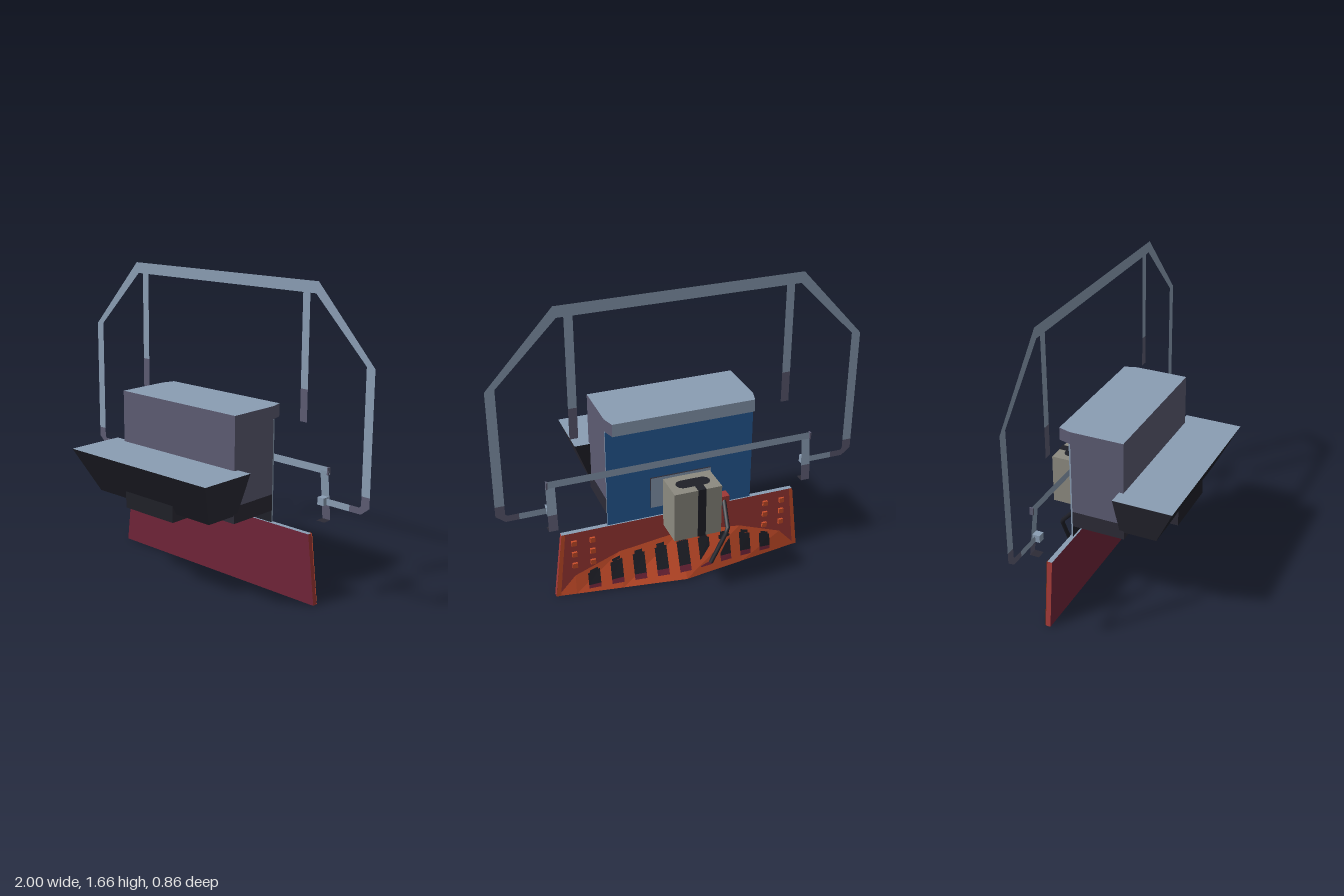
import * as THREE from 'three';

const mat = (name, color) => {
  const m = new THREE.MeshStandardMaterial({ color, side: THREE.DoubleSide });
  m.name = name;
  return m;
};

export function createModel() {
  const model = new THREE.Group();
  const steel = mat('steel', 0x8a9db3), slate = mat('slate', 0x5c5b72), dark = mat('charcoal', 0x2c2b36);
  const black = mat('black', 0x1f2028), blue = mat('blue', 0x265c98), beige = mat('beige', 0x8c8a80);
  const red = mat('red', 0xa03836), orange = mat('orange', 0xcc4e2a), maroon = mat('maroon', 0x702438);

  const add = (name, geometry, material) => {
    const mesh = new THREE.Mesh(geometry, material);
    mesh.name = name;
    model.add(mesh);
    return mesh;
  };
  // box from its limits; material may be a list: +x, -x, top, bottom, front, back
  const box = (name, x0, x1, y0, y1, z0, z1, material, warp) => {
    const g = new THREE.BoxGeometry(x1 - x0, y1 - y0, z1 - z0);
    g.translate((x0 + x1) / 2, (y0 + y1) / 2, (z0 + z1) / 2);
    if (warp) {
      const p = g.attributes.position, v = new THREE.Vector3();
      for (let i = 0; i < p.count; i++) {
        v.fromBufferAttribute(p, i);
        warp(v);
        p.setXYZ(i, v.x, v.y, v.z);
      }
      g.computeVertexNormals();
    }
    return add(name, g, material);
  };
  // flat upright sheet, given by its outline
  const sheet = (name, pts, z, material) => {
    const g = new THREE.ShapeGeometry(new THREE.Shape(pts.map(p => new THREE.Vector2(...p))));
    return add(name, g.translate(0, 0, z), material);
  };
  // list of four-cornered faces, flat shaded
  const quads = (name, faces, material) => {
    const g = new THREE.BufferGeometry();
    const pos = faces.flatMap(([a, b, c, d]) => [...a, ...b, ...c, ...a, ...c, ...d]);
    g.setAttribute('position', new THREE.Float32BufferAttribute(pos, 3));
    g.computeVertexNormals();
    return add(name, g, material);
  };

  // main cabinet with its overhanging lid
  box('cabinet', -0.41, 0.41, 0.535, 1.01, -0.165, 0.13, [slate, slate, steel, dark, slate, blue]);
  box('cabinetBase', -0.41, 0.41, 0.445, 0.535, -0.165, 0.13, dark);
  box('lidOverhang', -0.41, 0.41, 0.94, 1.01, -0.235, -0.165, [slate, slate, steel, black, slate, steel],
    v => { if (v.z < -0.2) v.x *= 0.95; });
  box('backPanel', -0.41, 0.41, 0.38, 0.94, -0.174, -0.165, [steel, steel, steel, dark, black, blue]);

  // flared hopper and the block below it
  box('hopper', -0.495, 0.495, 0.485, 0.725, 0.105, 0.43, [dark, dark, steel, black, black, black], v => {
    if (v.y < 0.6) {
      v.x *= 0.82;
      if (v.z > 0.3) v.z = 0.31;
    }
  });
  box('hopperBlock', -0.175, 0.175, 0.445, 0.54, 0.1, 0.335, [dark, dark, black, black, black, black]);

  // motor housing with a dark strap and slot
  box('mountPlate', -0.17, 0.17, 0.44, 0.62, -0.184, -0.174, [dark, dark, dark, dark, dark, steel]);
  box('motorNeck', -0.075, 0.075, 0.42, 0.605, -0.265, -0.11, beige);
  box('motor', -0.13, 0.13, 0.375, 0.655, -0.43, -0.262, [beige, beige, beige, black, beige, beige]);
  box('motorStrapBack', -0.042, 0.002, 0.375, 0.656, -0.433, -0.43, black);
  box('motorStrapTop', -0.042, 0.002, 0.655, 0.658, -0.433, -0.38, black);
  const slot = new THREE.Shape();
  slot.absarc(0.055, 0.35, 0.038, -Math.PI / 2, Math.PI / 2);
  slot.absarc(-0.055, 0.35, 0.038, Math.PI / 2, Math.PI * 1.5);
  add('motorSlot', new THREE.ShapeGeometry(slot, 5).rotateX(-Math.PI / 2).translate(0, 0.658, 0), black);

  // bent hose
  box('hoseSocket', -0.26, -0.2, 0.41, 0.455, -0.24, -0.184, red);
  const hosePath = new THREE.CurvePath();
  const bends = [[-0.23, 0.43, -0.23], [-0.21, 0.31, -0.34], [-0.11, 0.13, -0.352]].map(p => new THREE.Vector3(...p));
  hosePath.add(new THREE.LineCurve3(bends[0], bends[1]));
  hosePath.add(new THREE.LineCurve3(bends[1], bends[2]));
  add('hose', new THREE.TubeGeometry(hosePath, 12, 0.013, 6), black);

  // blade
  box('blade', -0.71, 0.71, 0, 0.38, -0.182, -0.155, [red, red, steel, maroon, maroon, red],
    v => { if (v.y > 0.2) v.x *= 0.935; });

  // ramp behind the blade: crest on the blade, lower edge running back to a point
  const crest = [[0, 0.25], [0.35, 0.205], [0.6, 0.11], [0.7, 0]];
  const crestY = x => {
    const a = Math.abs(x);
    const i = Math.max(1, crest.findIndex(c => c[0] >= a));
    const [x0, y0] = crest[i - 1], [x1, y1] = crest[i];
    return y0 + (y1 - y0) * (a - x0) / (x1 - x0);
  };
  const ramp = (x, t, lift = 0) =>
    [x, crestY(x) * t + lift * 0.4, -0.183 - 0.102 * (1 - Math.abs(x) / 0.7) * (1 - t) - lift];
  const xs = [-0.7, -0.6, -0.35, 0, 0.35, 0.6, 0.7];
  const slopes = [], under = [];
  for (let i = 0; i < xs.length - 1; i++) {
    const a = xs[i], b = xs[i + 1];
    slopes.push([ramp(b, 0), ramp(a, 0), ramp(a, 1), ramp(b, 1)]);
    under.push([ramp(a, 0), ramp(b, 0), [b, 0, -0.18], [a, 0, -0.18]]);
  }
  quads('ramp', slopes, orange);
  quads('rampUnderside', under, maroon);

  // row of dark openings with maroon sills
  const openings = [], sills = [];
  const patch = (x, w, t0, t1) =>
    [ramp(x + w, t0, 0.005), ramp(x - w, t0, 0.005), ramp(x - w, t1, 0.005), ramp(x + w, t1, 0.005)];
  for (let i = -4; i <= 4; i++) {
    const x = i * 0.125;
    openings.push(patch(x, 0.033, 0.3, 0.82), patch(x, 0.022, 0.82, 0.9));
    sills.push(patch(x, 0.033, 0.16, 0.3));
  }
  quads('rampOpenings', openings, black);
  quads('rampSills', sills, maroon);

  for (const s of [1, -1]) {
    const m = pts => pts.map(([x, y]) => [x * s, y]);
    // blade edge trim and bolts
    sheet('bladeTrim', m([[0.71, 0], [0.665, 0.38], [0.645, 0.38], [0.685, 0]]), -0.185, orange);
    for (const x of [0.5, 0.6])
      for (const y of [0.18, 0.25, 0.32])
        box('bolt', s * x - 0.014, s * x + 0.014, y - 0.014, y + 0.014, -0.195, -0.182, orange);

    // outer hoop, cut from flat bar
    sheet('hoop', m([[0, 1.665], [0.65, 1.665], [1, 1.28], [1, 0.64], [0.95, 0.64], [0.95, 1.285],
      [0.635, 1.605], [0, 1.605]]), -0.2, steel);
    sheet('hoopCorner', m([[1, 0.64], [1, 0.585], [0.95, 0.545], [0.88, 0.545], [0.88, 0.58], [0.94, 0.58],
      [0.95, 0.59], [0.95, 0.64]]), -0.2, slate);
    sheet('hoopFoot', m([[0.88, 0.545], [0.88, 0.58], [0.7, 0.58], [0.7, 0.545]]), -0.2, steel);
    sheet('hanger', m([[0.555, 1.605], [0.6, 1.605], [0.6, 1.12], [0.555, 1.12]]), -0.2, steel);
    sheet('hangerTip', m([[0.555, 1.12], [0.6, 1.12], [0.6, 0.95], [0.555, 0.95]]), -0.2, slate);

    // leaning legs of the inner rail
    const strip = (y0, z0, y1, z1) =>
      [[[0.69 * s, y0, z0], [0.74 * s, y0, z0], [0.74 * s, y1, z1], [0.69 * s, y1, z1]]];
    quads('railLeg', strip(0.545, -0.225, 0.72, -0.206), steel);
    quads('railLegTip', strip(0.455, -0.235, 0.545, -0.225), slate);
    quads('railFoot', strip(0.455, -0.235, 0.455, -0.185), dark);
    box('railTab', Math.min(s * 0.7, s * 0.74), Math.max(s * 0.7, s * 0.74), 0.545, 0.585, -0.215, -0.175, steel);
    box('railEnd', s * 0.735 - 0.004, s * 0.735 + 0.004, 0.7, 0.74, -0.225, -0.205, slate);
  }
  sheet('rail', [[-0.74, 0.7], [0.74, 0.7], [0.74, 0.74], [-0.74, 0.74]], -0.215, steel);

  return model;
}
